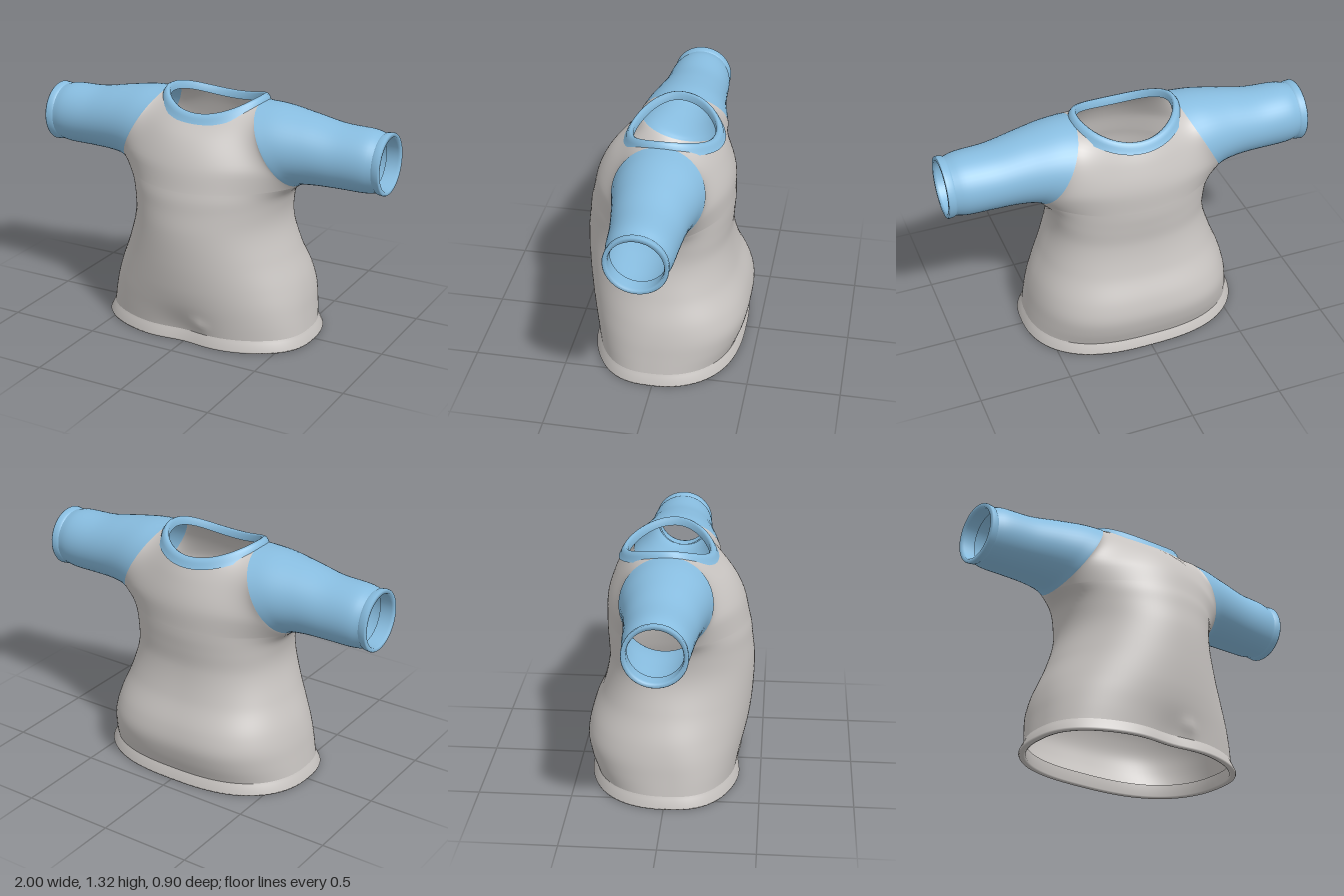
import * as THREE from 'three';
import { mergeVertices, mergeGeometries } from 'three/addons/utils/BufferGeometryUtils.js';

const N = 48; // segments across the front or back panel
const M = 24; // segments along each half of a sleeve seam
const { lerp } = THREE.MathUtils;

// Smooth interpolation of table rows; the first entry of each row is the key.
function table(rows) {
  const it = new THREE.CubicInterpolant(rows.map(r => r[0]), rows.flatMap(r => r.slice(1)), rows[0].length - 1);
  return t => Array.from(it.evaluate(t));
}

// Surface through rows of points; skip(j) leaves out a column.
function grid(rows, flip = false, skip = () => false) {
  const w = rows[0].length, index = [];
  for (let i = 0; i < rows.length - 1; i++) {
    for (let j = 0; j < w - 1; j++) {
      if (skip(j)) continue;
      const a = i * w + j, b = a + 1, c = a + w, d = c + 1;
      index.push(...(flip ? [a, c, b, b, c, d] : [a, b, c, b, d, c]));
    }
  }
  const g = new THREE.BufferGeometry();
  g.setAttribute('position', new THREE.Float32BufferAttribute(rows.flat(2), 3));
  g.setIndex(index);
  return g;
}

function smooth(g) {
  const m = mergeVertices(g, 1e-4);
  m.computeVertexNormals();
  return m;
}

// Below the arms: height, half width, underarm flare, front depth, back depth,
// front roundness, back roundness, back flatness
const lower = table([
  [0.06, 0.585, 0, 0.385, 0.405, 0.72, 0.92, 2.7],
  [0.15, 0.572, 0, 0.4, 0.435, 0.76, 0.92, 2.9],
  [0.24, 0.558, 0, 0.417, 0.449, 0.85, 0.92, 3],
  [0.33, 0.535, 0, 0.432, 0.432, 0.95, 0.92, 2.9],
  [0.48, 0.478, 0, 0.447, 0.37, 1, 0.9, 2.6],
  [0.65, 0.43, 0, 0.45, 0.335, 1, 0.85, 2.3],
  [0.76, 0.435, 0, 0.438, 0.34, 1, 0.85, 2.1],
  [0.83, 0.444, 0.018, 0.43, 0.345, 1, 0.88, 2],
  [0.872, 0.447, 0.063, 0.42, 0.345, 1, 0.9, 2],
]);

// Between the arms: fraction up the seam, front y, front z, back y, back z, roundness
const upper = table([
  [0, 0.872, 0.42, 0.872, 0.345, 1, 0.9],
  [0.3, 1.0, 0.39, 1.0, 0.34, 1.05, 0.95],
  [0.65, 1.12, 0.325, 1.13, 0.3, 1.1, 1],
  [1, 1.215, 0.225, 1.225, 0.255, 1, 1],
]);

// Closed row: front half from -x to +x, then back half from +x to -x
function torsoRow(width, flare, sy, sz, fy, fz, by, bz, pf, pb, nb) {
  const row = [];
  for (const [dir, cy, cz, p, n] of [[1, fy, fz, pf, 2], [-1, by, bz, pb, nb]]) {
    for (let j = 0; j <= N; j++) {
      const s = Math.sin((j / N - 0.5) * Math.PI), c2 = 1 - s * s;
      const x = dir * s * (width + flare * s ** 6), y = lerp(sy, cy, c2);
      const depth = j % N ? cz * (1 - Math.abs(s) ** n) ** (p / 2) : 0;
      let z = Math.hypot(depth, sz * s * s);
      if (dir > 0) {
        // hollow above the hem and the navel
        z -= 0.035 * Math.exp(-((x / 0.15) ** 2) - ((y - 0.04) / 0.13) ** 2);
        z += 0.014 * Math.exp(-(((x - 0.1) / 0.035) ** 2) - ((y - 0.12) / 0.035) ** 2);
      }
      row.push([x, y, dir * z]);
    }
  }
  return row;
}

function lowerRow(y) {
  const [w, flare, fz, bz, pf, pb, nb] = lower(y);
  return torsoRow(w, flare, y, 0, y, fz, y, bz, pf, pb, nb);
}

function torso() {
  const rows = [];
  for (let i = 0; i < 44; i++) rows.push(lowerRow(lerp(0.06, 0.872, i / 44)));
  for (let k = 0; k <= M; k++) {
    const phi = Math.PI * k / M, v = (1 - Math.cos(phi)) / 2;
    const seamX = lerp(0.51, 0.28, v), width = Math.min(seamX, 0.447);
    rows.push(torsoRow(width, seamX - width, lerp(0.872, 1.295, v), 0.243 * Math.sin(phi), ...upper(v), 2));
  }
  return grid(rows, false, j => j === N);
}

// Sleeve rings: top x, top y, bottom x, bottom y, half depth, centre z
const sleeveRing = table([
  [0, 0.28, 1.295, 0.51, 0.872, 0.243, 0],
  [0.2, 0.4, 1.29, 0.55, 0.888, 0.225, 0],
  [0.42, 0.56, 1.265, 0.64, 0.896, 0.2, 0],
  [0.62, 0.72, 1.236, 0.76, 0.897, 0.182, -0.003],
  [0.87, 0.9, 1.228, 0.9, 0.897, 0.169, -0.005],
  [1, 0.957, 1.214, 0.957, 0.906, 0.155, -0.005],
]);

function sleeve(side) {
  const rows = [];
  for (let i = 0; i <= 28; i++) {
    const [xt, yt, xb, yb, hz, zc] = sleeveRing(i / 28);
    rows.push(Array.from({ length: 2 * M + 1 }, (_, k) => {
      const phi = Math.PI * k / M, v = (1 - Math.cos(phi)) / 2;
      return [side * lerp(xb, xt, v), lerp(yb, yt, v), zc + hz * Math.sin(phi)];
    }));
  }
  return grid(rows, side > 0);
}

// Flared band around the bottom edge: outward offset and height
function hem() {
  const base = lowerRow(0.06);
  const profile = [[-0.012, 0.07], [-0.012, 0.004], [0.0, 0], [0.022, 0], [0.026, 0.01], [0.006, 0.052], [0, 0.066]];
  return grid(profile.map(([o, y]) => base.map(([x, , z]) => [x * (1 + o / 0.585), y, z * (1 + o / 0.45)])));
}

// Neck band swept around the dipping neckline: outward offset and rise
function collar() {
  const profile = [[0.027, -0.026], [0.016, -0.008], [0.013, 0.004], [0.002, 0.021], [-0.012, 0.027],
    [-0.025, 0.018], [-0.026, -0.018]];
  return grid(profile.map(([o, dy]) => Array.from({ length: 73 }, (_, k) => {
    const a = 2 * Math.PI * k / 72, s = Math.sin(a), c = Math.cos(a);
    const y = lerp(c > 0 ? 1.215 : 1.225, 1.295, s * s);
    return [(0.28 + o) * s, y + dy, ((c > 0 ? 0.225 : 0.255) + o) * c];
  })));
}

export function createModel() {
  const grey = new THREE.MeshStandardMaterial({ color: 0xc8c4c1, side: THREE.DoubleSide });
  grey.name = 'grey cloth';
  const blue = new THREE.MeshStandardMaterial({ color: 0x88bde0, side: THREE.DoubleSide });
  blue.name = 'blue cloth';

  const shirt = new THREE.Group();
  shirt.name = 'shirt';
  const add = (name, geometry, material) => {
    const mesh = new THREE.Mesh(geometry, material);
    mesh.name = name;
    shirt.add(mesh);
    return mesh;
  };

  // Torso and raglan sleeves share their seam so the shading runs across it
  add('torsoAndSleeves', smooth(mergeGeometries([torso(), sleeve(1), sleeve(-1)], true)), [grey, blue, blue]);
  add('hem', smooth(hem()), grey);
  add('collar', smooth(collar()), blue);

  // Rolled cuffs with a short inner lining
  const cuffProfile = [[0.14, 0.92], [0.138, 0.985], [0.142, 1], [0.16, 1], [0.164, 0.994],
    [0.161, 0.966], [0.154, 0.955]].map(([r, x]) => new THREE.Vector2(r, x));
  for (const side of [1, -1]) {
    const cuff = add(side > 0 ? 'leftCuff' : 'rightCuff', new THREE.LatheGeometry(cuffProfile, 48), blue);
    cuff.rotation.z = -side * Math.PI / 2;
    cuff.position.set(0, 1.06, -0.005);
  }
  return shirt;
}
